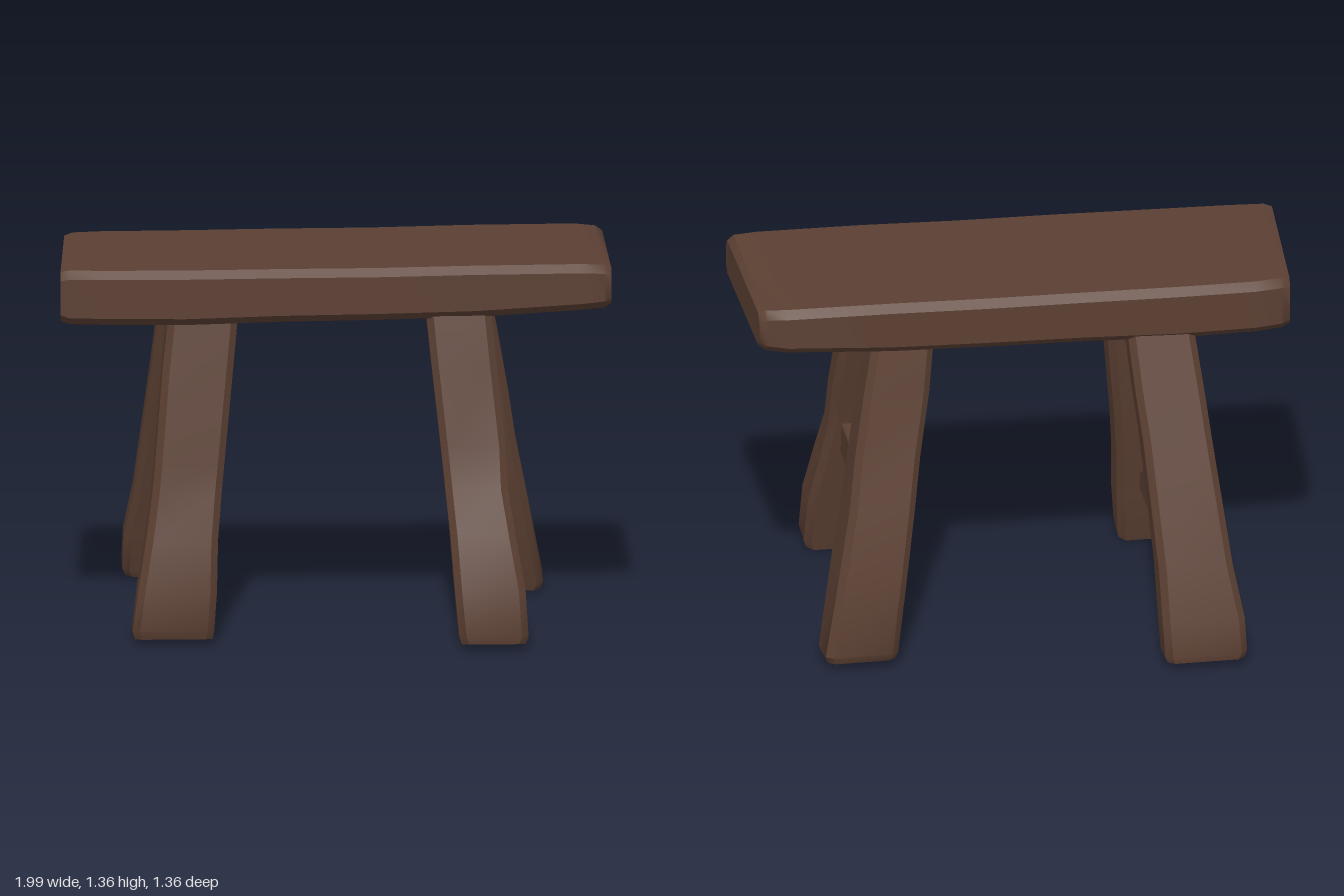
import * as THREE from 'three';
import { toCreasedNormals } from 'three/addons/utils/BufferGeometryUtils.js';

// Lofts a hewn timber through bevelled rectangles.
// Section: [t, aMin, aMax, bMin, bMax, tiltA, tiltB]; tilt shifts t across the section.
// place maps (a, b, t) to x, y, z and must keep handedness.
function timber(sections, bevel, place) {
  const points = [];
  const index = [];
  for (const [t, a0, a1, b0, b1, tiltA = 0, tiltB = 0] of sections) {
    const c = bevel;
    const ring = [
      [a1, b0 + c], [a1, b1 - c], [a1 - c, b1], [a0 + c, b1],
      [a0, b1 - c], [a0, b0 + c], [a0 + c, b0], [a1 - c, b0],
    ];
    for (const [a, b] of ring) {
      const shift = tiltA * ((a - a0) / (a1 - a0) - 0.5) + tiltB * ((b - b0) / (b1 - b0) - 0.5);
      points.push(...place(a, b, t + shift));
    }
  }
  for (let s = 0; s < sections.length - 1; s++) {
    for (let k = 0; k < 8; k++) {
      const p = s * 8 + k;
      const q = s * 8 + ((k + 1) % 8);
      index.push(p, q, q + 8, p, q + 8, p + 8);
    }
  }
  const end = (sections.length - 1) * 8;
  for (let k = 1; k < 7; k++) {
    index.push(0, k + 1, k, end, end + k, end + k + 1);
  }
  const geometry = new THREE.BufferGeometry();
  geometry.setAttribute('position', new THREE.Float32BufferAttribute(points, 3));
  geometry.setIndex(index);
  return toCreasedNormals(geometry, 0.7);
}

const alongX = (a, b, t) => [t, a, b]; // a = y, b = z
const alongY = (a, b, t) => [b, t, a]; // a = z, b = x
const alongZ = (a, b, t) => [a, b, t]; // a = x, b = y

export function createModel() {
  const model = new THREE.Group();
  model.name = 'bench';
  const wood = new THREE.MeshStandardMaterial({ color: 0x5c4033 });
  wood.name = 'dark wood';

  const add = (name, geometry) => {
    const mesh = new THREE.Mesh(geometry, wood);
    mesh.name = name;
    model.add(mesh);
  };

  // Thick, slightly wavy seat slab
  add('seat', timber([
    [-0.98, 1.165, 1.345, -0.285, 0.365, 0, -0.04],
    [-0.95, 1.155, 1.353, -0.3, 0.375, 0, -0.04],
    [-0.83, 1.153, 1.353, -0.315, 0.385],
    [-0.55, 1.152, 1.354, -0.315, 0.395],
    [-0.2, 1.163, 1.358, -0.312, 0.402],
    [0.15, 1.168, 1.36, -0.308, 0.407],
    [0.5, 1.177, 1.367, -0.306, 0.413],
    [0.88, 1.2, 1.37, -0.302, 0.415],
    [0.96, 1.208, 1.366, -0.285, 0.412, 0, 0.01],
    [0.985, 1.222, 1.352, -0.265, 0.4, 0, 0.01],
  ], 0.028, alongX));

  // Splayed legs, each section: y, z range, x range, foot tilt
  const legs = {
    frontLeftLeg: [
      [0.018, 0.535, 0.675, 0.44, 0.67, 0.025],
      [0.05, 0.525, 0.68, 0.43, 0.68, 0.02],
      [0.22, 0.485, 0.66, 0.415, 0.67],
      [0.42, 0.43, 0.595, 0.4, 0.635],
      [0.57, 0.4, 0.535, 0.385, 0.61],
      [0.72, 0.355, 0.49, 0.37, 0.605],
      [1.0, 0.28, 0.435, 0.34, 0.575],
      [1.25, 0.215, 0.375, 0.315, 0.55],
    ],
    backLeftLeg: [
      [0.022, -0.48, -0.295, 0.515, 0.76, -0.03],
      [0.05, -0.49, -0.285, 0.505, 0.77, -0.03],
      [0.37, -0.44, -0.215, 0.46, 0.71],
      [0.6, -0.39, -0.18, 0.425, 0.665],
      [0.77, -0.345, -0.155, 0.4, 0.64],
      [1.0, -0.3, -0.12, 0.36, 0.6],
      [1.25, -0.25, -0.085, 0.33, 0.55],
    ],
    frontRightLeg: [
      [0.018, 0.42, 0.54, -0.735, -0.455, 0.02],
      [0.05, 0.41, 0.55, -0.745, -0.45, 0.02],
      [0.2, 0.375, 0.545, -0.725, -0.44],
      [0.38, 0.345, 0.51, -0.695, -0.435],
      [0.55, 0.305, 0.465, -0.67, -0.42],
      [0.65, 0.285, 0.45, -0.66, -0.41],
      [1.0, 0.235, 0.395, -0.63, -0.375],
      [1.25, 0.19, 0.35, -0.6, -0.35],
    ],
    backRightLeg: [
      [0.024, -0.675, -0.545, -0.73, -0.45, -0.02],
      [0.05, -0.68, -0.53, -0.74, -0.44, -0.02],
      [0.18, -0.655, -0.49, -0.735, -0.435],
      [0.37, -0.6, -0.43, -0.7, -0.43],
      [0.81, -0.44, -0.275, -0.65, -0.4],
      [1.0, -0.37, -0.215, -0.63, -0.38],
      [1.25, -0.28, -0.135, -0.6, -0.36],
    ],
  };
  for (const [name, sections] of Object.entries(legs)) {
    add(name, timber(sections, 0.025, alongY));
  }

  // Stretchers joining each front and back leg: z, x range, y range
  add('leftStretcher', timber([
    [-0.24, 0.5, 0.59, 0.45, 0.635],
    [-0.1, 0.495, 0.59, 0.485, 0.615],
    [0.1, 0.485, 0.58, 0.46, 0.605],
    [0.28, 0.48, 0.57, 0.45, 0.58],
    [0.45, 0.485, 0.565, 0.435, 0.565],
  ], 0.006, alongZ));
  add('rightStretcher', timber([
    [-0.46, -0.6, -0.51, 0.315, 0.47],
    [-0.22, -0.6, -0.51, 0.29, 0.445],
    [0.0, -0.605, -0.515, 0.265, 0.415],
    [0.22, -0.605, -0.515, 0.247, 0.385],
    [0.4, -0.6, -0.52, 0.228, 0.295],
  ], 0.006, alongZ));

  return model;
}
